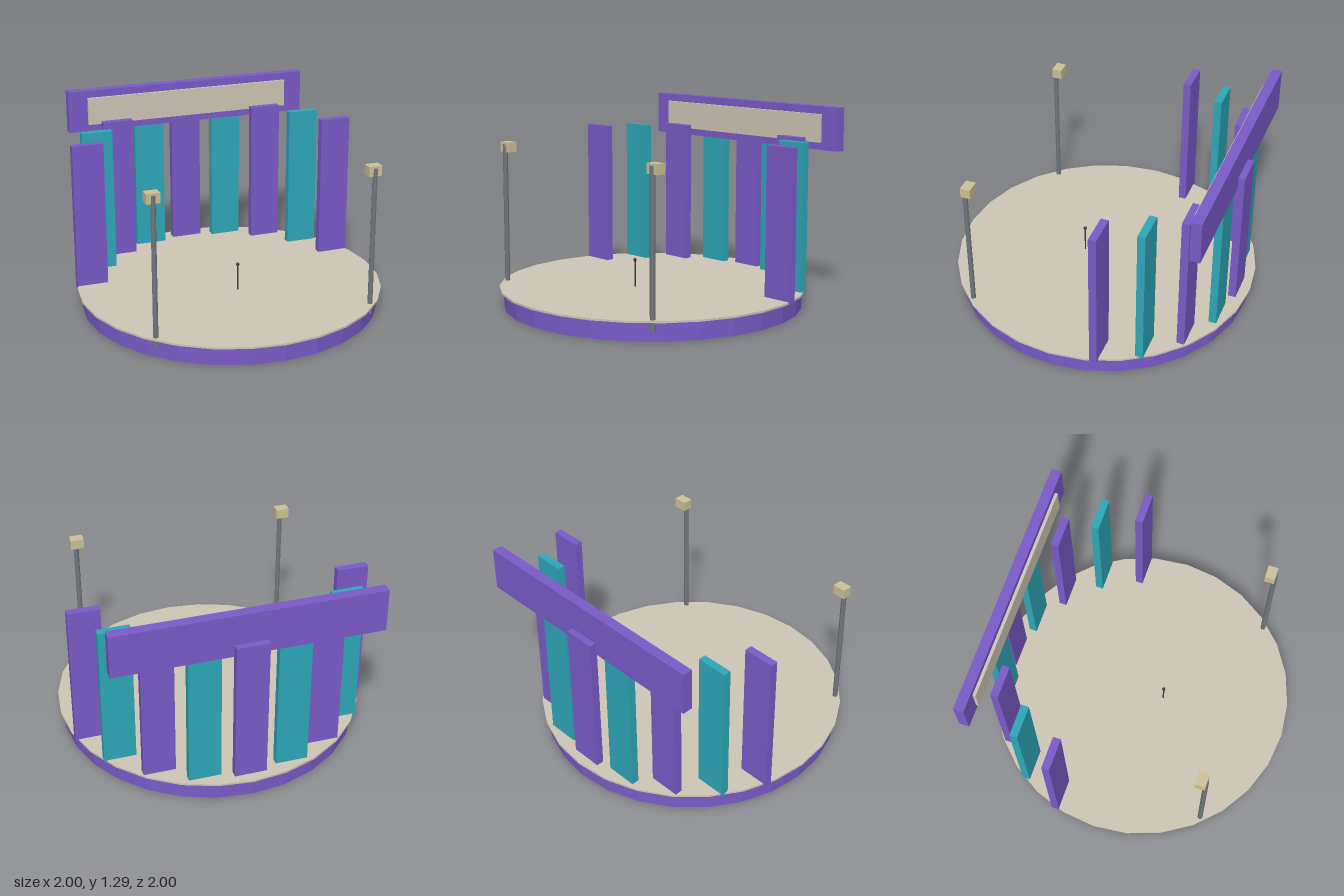
import * as THREE from 'three';

const material = (name, color, flatShading = false) =>
  Object.assign(new THREE.MeshStandardMaterial({ color, flatShading }), { name });

export function createModel() {
  const purple = material('purple', 0x7a5ac8, true);
  const teal = material('teal', 0x2ea7b8, true);
  const beige = material('beige', 0xcec5b5, true);
  const steel = material('steel', 0x70777d, true);
  const cream = material('cream', 0xcdc195, true);
  const dark = material('dark grey', 0x3c3f46);

  const model = new THREE.Group();
  model.name = 'stage';

  const add = (name, geometry, mat, x, y, z) => {
    const mesh = new THREE.Mesh(geometry, mat);
    mesh.name = name;
    mesh.position.set(x, y, z);
    model.add(mesh);
    return mesh;
  };
  // Box and cylinder placed by their bottom and top heights
  const box = (name, mat, w, d, bottom, top, x, z) =>
    add(name, new THREE.BoxGeometry(w, top - bottom, d), mat, x, (bottom + top) / 2, z);
  const cylinder = (name, mat, r, sides, bottom, top, x, z) =>
    add(name, new THREE.CylinderGeometry(r, r, top - bottom, sides), mat, x, (bottom + top) / 2, z);

  // Round platform with a slightly wider floor
  cylinder('platformBase', purple, 0.972, 28, 0, 0.117, 0, 0);
  cylinder('platformFloor', beige, 1, 28, 0.117, 0.13, 0, 0);

  // Backdrop panels on an arc, alternating colours, all facing forward
  for (let i = -4; i <= 4; i++) {
    const a = i * Math.PI / 10;
    box('backdropPanel', i % 2 ? teal : purple, 0.206, 0.05, 0.117, 1.087,
      0.908 * Math.sin(a), -0.908 * Math.cos(a));
  }

  // Header beam and its blank sign board
  box('headerBeam', purple, 1.687, 0.066, 1.006, 1.287, 0, -0.858);
  box('signBoard', beige, 1.427, 0.02, 1.054, 1.238, 0, -0.815);

  // Lamp posts at the front
  for (const side of [-1, 1]) {
    cylinder('lampPost', steel, 0.0165, 8, 0.062, 1.036, side * 0.714, 0.651);
    box('lampHead', cream, 0.087, 0.065, 0.985, 1.05, side * 0.714, 0.625);
  }

  // Microphone on a thin stand
  cylinder('microphoneStand', dark, 0.005, 8, 0.13, 0.305, 0, 0.155);
  add('microphone', new THREE.SphereGeometry(0.0115, 12, 8), dark, 0, 0.308, 0.155);

  return model;
}
